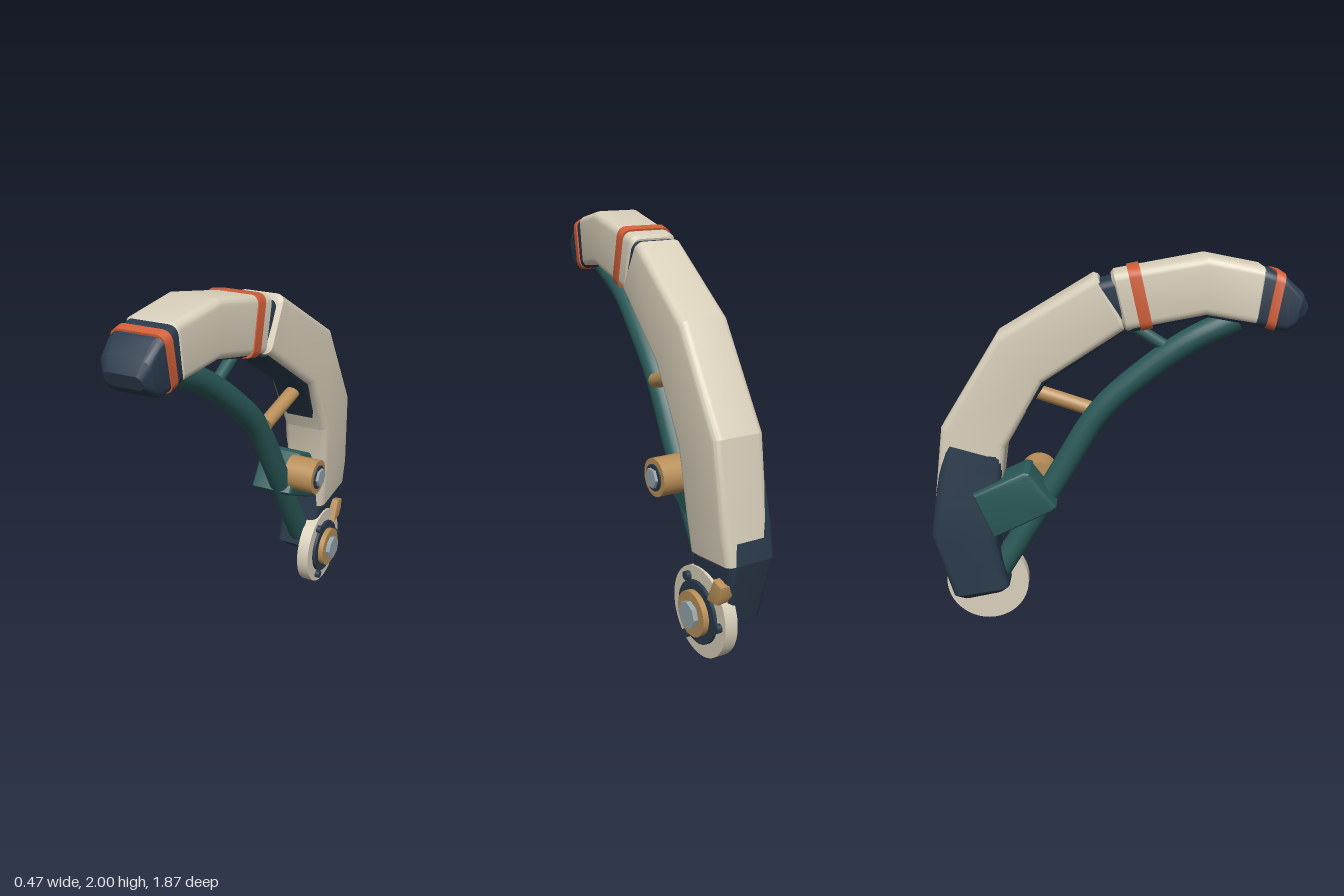
import * as THREE from 'three';
import { toCreasedNormals } from 'three/addons/utils/BufferGeometryUtils.js';

const mat = (name, color) => {
  const m = new THREE.MeshStandardMaterial({ color });
  m.name = name;
  return m;
};

const lerp = (a, b, f) => a.map((v, k) => v + (b[k] - v) * f);

// A section is [inner z, inner y, outer z, outer y, x min, x max]
function shrink(s, b) {
  const len = Math.hypot(s[2] - s[0], s[3] - s[1]);
  const dz = (s[2] - s[0]) / len * b, dy = (s[3] - s[1]) / len * b;
  return [s[0] + dz, s[1] + dy, s[2] - dz, s[3] - dy, s[4] + b, s[5] - b];
}

// Rounded rectangle ring of one section
function ring(s, r) {
  const [iz, iy, oz, oy, x0, x1] = s;
  const hx = (x1 - x0) / 2, hv = Math.hypot(oz - iz, oy - iy) / 2;
  const vz = (oz - iz) / 2 / hv, vy = (oy - iy) / 2 / hv;
  const rr = Math.min(r, hx * 0.9, hv * 0.9);
  const pts = [];
  [[1, 1], [-1, 1], [-1, -1], [1, -1]].forEach(([sx, sv], c) => {
    for (let k = 0; k <= 4; k++) {
      const a = (c + k / 4) * Math.PI / 2;
      const u = sx * (hx - rr) + rr * Math.cos(a);
      const v = sv * (hv - rr) + rr * Math.sin(a);
      pts.push([(x0 + x1) / 2 + u, (iy + oy) / 2 + vy * v, (iz + oz) / 2 + vz * v]);
    }
  });
  return pts;
}

// Closed loft through rounded sections, with bevelled ends
function loft(sections, r = 0.04, bevel = 0.015) {
  let list = sections;
  if (bevel) {
    const n = sections.length;
    const gap = (a, b) => Math.hypot(a[0] + a[2] - b[0] - b[2], a[1] + a[3] - b[1] - b[3]) / 2;
    const [s0, s1, e1, e0] = [sections[0], sections[1], sections[n - 2], sections[n - 1]];
    list = [shrink(s0, bevel), lerp(s0, s1, bevel / gap(s0, s1)), ...sections.slice(1, -1),
      lerp(e0, e1, bevel / gap(e0, e1)), shrink(e0, bevel)];
  }
  const pos = [], idx = [], N = 20;
  list.forEach(s => pos.push(...ring(s, r).flat()));
  for (let i = 0; i < list.length - 1; i++) {
    for (let j = 0; j < N; j++) {
      const k = (j + 1) % N, a = i * N + j, b = i * N + k, c = b + N, d = a + N;
      idx.push(a, b, c, a, c, d);
    }
  }
  const last = (list.length - 1) * N;
  for (let j = 1; j < N - 1; j++) {
    idx.push(0, j + 1, j, last, last + j, last + j + 1);
  }
  const g = new THREE.BufferGeometry();
  g.setAttribute('position', new THREE.Float32BufferAttribute(pos, 3));
  g.setIndex(idx);
  return toCreasedNormals(g, 0.42);
}

export function createModel() {
  const root = new THREE.Group();
  root.name = 'curvedArm';
  const ivory = mat('ivory', 0xd9d0bb), navy = mat('navy', 0x2a3a4b), teal = mat('teal', 0x2a5a59);
  const tan = mat('tan', 0xb98f58), orange = mat('orange', 0xd2603a), steel = mat('steel', 0x98a5ab);

  const add = (name, geometry, material) => {
    const m = new THREE.Mesh(geometry, material);
    m.name = name;
    root.add(m);
    return m;
  };

  // Disc or bolt whose axis runs along x
  const disc = (name, material, z, y, r, x0, x1, sides = 36) => {
    const g = toCreasedNormals(new THREE.CylinderGeometry(r, r, x1 - x0, sides), 0.5);
    g.rotateZ(-Math.PI / 2);
    add(name, g, material).position.set((x0 + x1) / 2, y, z);
  };

  // Straight round rod between two points
  const rod = (name, material, a, b, r) => {
    const p = new THREE.Vector3(...a), d = new THREE.Vector3(...b).sub(p);
    const m = add(name, toCreasedNormals(new THREE.CylinderGeometry(r, r, d.length(), 20), 0.5), material);
    m.position.copy(p).addScaledVector(d, 0.5);
    m.quaternion.setFromUnitVectors(new THREE.Vector3(0, 1, 0), d.normalize());
  };

  // Bevelled plate from a side outline of [z, y] points, spanning x0 to x1
  const plate = (name, material, outline, x0, x1, b) => {
    const shape = new THREE.Shape(outline.map(([z, y]) => new THREE.Vector2(-z, y)));
    const g = new THREE.ExtrudeGeometry(shape, {
      depth: x1 - x0 - 2 * b, bevelThickness: b, bevelSize: b, bevelOffset: -b, bevelSegments: 3,
    });
    g.rotateY(Math.PI / 2).translate(x0 + b, 0, 0);
    add(name, toCreasedNormals(g, 0.5), material);
  };

  // Inner core, showing at the foot, the underside and the joint
  add('lowerCore', loft([
    [-0.53, 0.24, -0.82, 0.18, -0.11, 0.09],
    [-0.59, 0.50, -0.932, 0.56, -0.11, 0.135],
    [-0.575, 0.72, -0.905, 0.73, -0.105, 0.15],
    [-0.535, 1.03, -0.84, 1.12, -0.07, 0.165],
    [-0.327, 1.352, -0.555, 1.585, -0.06, 0.165],
    [0.08, 1.635, -0.05, 1.88, -0.10, 0.125],
  ], 0.04, 0.03), navy);
  add('upperCore', loft([
    [0.10, 1.635, -0.06, 1.87, -0.125, 0.115],
    [0.12, 1.635, 0.06, 1.905, -0.135, 0.105],
    [0.457, 1.712, 0.457, 1.985, -0.175, 0.08],
    [0.70, 1.674, 0.735, 1.942, -0.218, 0.04],
    [0.77, 1.66, 0.80, 1.92, -0.22, 0.037],
  ], 0.04, 0), navy);

  // Outer shells
  add('lowerShell', loft([
    [-0.596, 0.50, -0.93, 0.545, -0.085, 0.15],
    [-0.572, 0.72, -0.91, 0.71, -0.08, 0.17],
    [-0.53, 1.03, -0.856, 1.135, -0.075, 0.188],
    [-0.335, 1.362, -0.564, 1.603, -0.07, 0.188],
    [0.078, 1.645, -0.068, 1.905, -0.115, 0.137],
  ]), ivory);
  add('upperShell', loft([
    [0.07, 1.635, 0.0, 1.913, -0.137, 0.122],
    [0.457, 1.72, 0.457, 2.0, -0.185, 0.095],
    [0.70, 1.68, 0.735, 1.95, -0.222, 0.045],
  ]), ivory);

  // Orange bands and the blunt tip
  add('rearBand', loft([
    [0.149, 1.64, 0.08, 1.938, -0.155, 0.125],
    [0.207, 1.653, 0.138, 1.95, -0.162, 0.12],
  ], 0.045, 0), orange);
  add('frontBand', loft([
    [0.732, 1.668, 0.775, 1.936, -0.231, 0.047],
    [0.772, 1.655, 0.817, 1.923, -0.236, 0.041],
  ], 0.045, 0), orange);
  add('tip', loft([
    [0.765, 1.662, 0.81, 1.916, -0.23, 0.036],
    [0.835, 1.655, 0.832, 1.90, -0.235, 0.03],
    [0.865, 1.672, 0.905, 1.835, -0.23, 0.024],
    [0.91, 1.708, 0.935, 1.775, -0.20, -0.005],
  ], 0.04, 0), navy);

  // Curved lower tube with closed ends, and its struts
  const path = new THREE.CatmullRomCurve3([
    [-0.06, 1.69, 0.615], [-0.05, 1.585, 0.40], [-0.025, 1.435, 0.19], [0, 1.21, -0.05],
    [0.01, 0.89, -0.25], [0.01, 0.58, -0.435], [0.01, 0.23, -0.65],
  ].map(p => new THREE.Vector3(...p)));
  add('lowerTube', new THREE.TubeGeometry(path, 60, 0.062, 20), teal);
  [0, 1].forEach(t => {
    const p = path.getPoint(t), out = path.getTangent(t).multiplyScalar(t ? 0.004 : -0.004);
    rod('tubeEnd', teal, p.toArray(), p.clone().add(out).toArray(), 0.062);
  });
  rod('upperStrut', teal, [-0.035, 1.54, 0.29], [-0.02, 1.70, 0.03], 0.03);
  rod('middleStrut', tan, [0.035, 1.207, -0.085], [0.06, 1.315, -0.43], 0.038);

  // Bracket and its pivot
  plate('bracket', teal, [[-0.275, 0.735], [-0.41, 0.92], [-0.44, 0.922], [-0.70, 0.80],
    [-0.60, 0.565], [-0.29, 0.715]], -0.147, 0.092, 0.02);
  disc('pivotBarrel', tan, -0.38, 0.82, 0.095, 0.05, 0.213);
  disc('pivotRing', navy, -0.38, 0.82, 0.066, 0.2, 0.219);
  disc('pivotBolt', steel, -0.38, 0.82, 0.05, 0.2, 0.234, 6);

  // Foot wheel with hub and three bolts
  const wz = -0.668, wy = 0.224;
  disc('wheel', ivory, wz, wy, 0.223, 0.068, 0.135, 48);
  disc('wheelRing', navy, wz, wy, 0.155, 0.12, 0.152);
  disc('hub', tan, wz, wy, 0.112, 0.13, 0.182);
  disc('hubBolt', steel, wz, wy, 0.068, 0.16, 0.207, 8);
  for (let k = 0; k < 3; k++) {
    const a = Math.PI + k * Math.PI * 2 / 3;
    disc('wheelBolt', navy, wz + 0.177 * Math.cos(a), wy + 0.177 * Math.sin(a), 0.022, 0.12, 0.16, 12);
  }

  // Small clip above the wheel
  plate('clip', tan, [[-0.818, 0.462], [-0.882, 0.445], [-0.877, 0.392], [-0.85, 0.345],
    [-0.765, 0.335], [-0.787, 0.392]], 0.08, 0.16, 0.008);

  return root;
}
